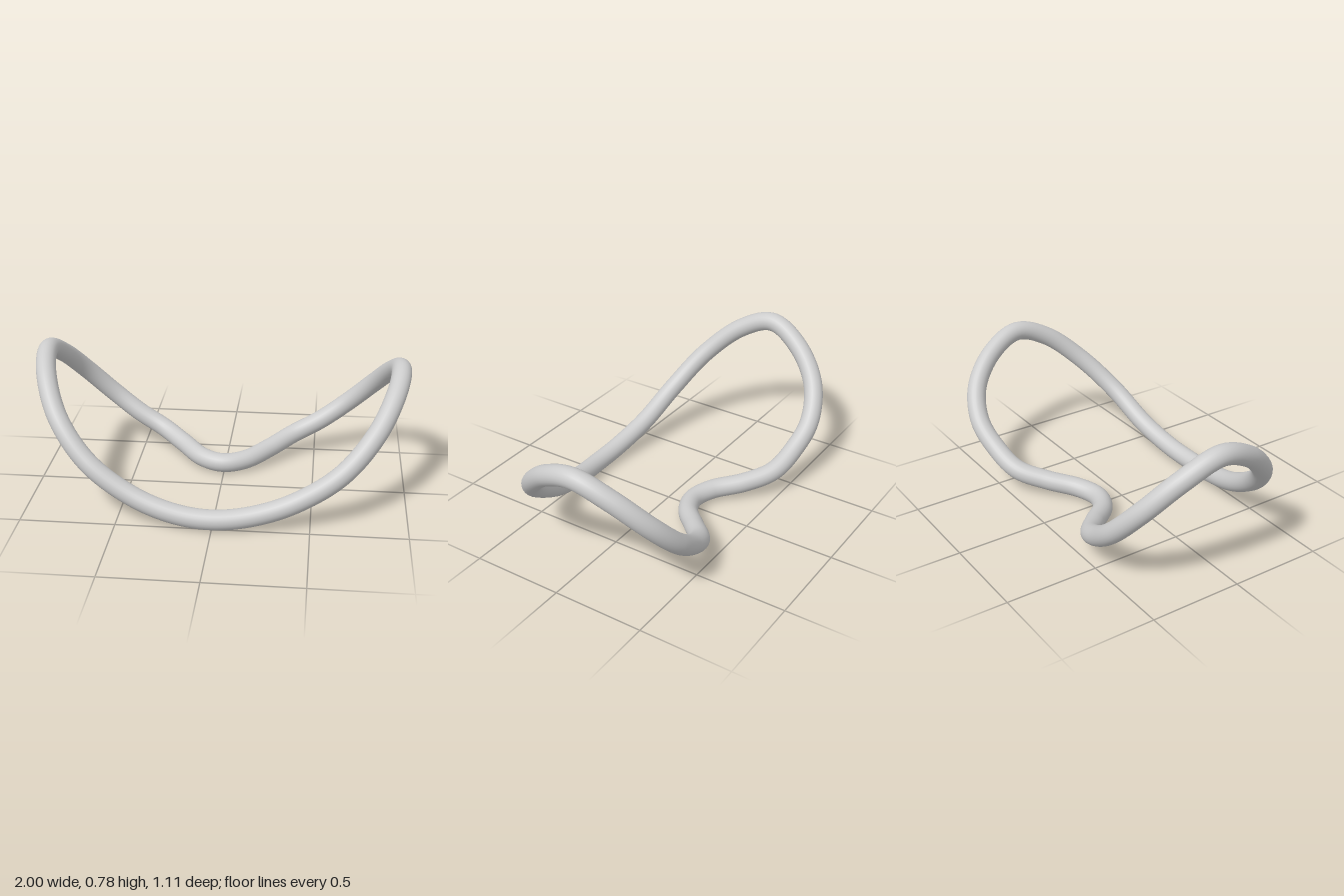
import * as THREE from 'three';

// Height of the bent loop: a circular arc over x, slightly tighter on the -x side
function arcHeight(x) {
  const r = x < 0 ? 1.003 : 1.03;
  return 0.053 + r - Math.sqrt(r * r - x * x);
}

export function createModel() {
  const group = new THREE.Group();

  // Plan outline (x, z) of the centre line, from the front middle round the +x side
  const plan = [
    [0, 0.495], [0.2, 0.477], [0.42, 0.443], [0.65, 0.39], [0.82, 0.26], [0.918, 0.08],
    [0.947, -0.1], [0.91, -0.29], [0.82, -0.44], [0.69, -0.5], [0.53, -0.483],
    [0.38, -0.44], [0.25, -0.325], [0.12, -0.205],
    [0, -0.163],
    [-0.12, -0.205], [-0.25, -0.34], [-0.38, -0.447], [-0.53, -0.488], [-0.68, -0.503],
    [-0.82, -0.44], [-0.91, -0.29], [-0.947, -0.1], [-0.918, 0.09],
    [-0.82, 0.275], [-0.65, 0.39], [-0.42, 0.447], [-0.2, 0.483],
  ];
  const path = new THREE.CatmullRomCurve3(
    plan.map(([x, z]) => new THREE.Vector3(x, arcHeight(x), z)), true, 'centripetal');

  // Closed round tube
  const loop = new THREE.Mesh(
    new THREE.TubeGeometry(path, 240, 0.053, 24, true),
    new THREE.MeshStandardMaterial({ color: 0xcccccc }));
  loop.name = 'bentLoop';
  group.add(loop);
  return group;
}
